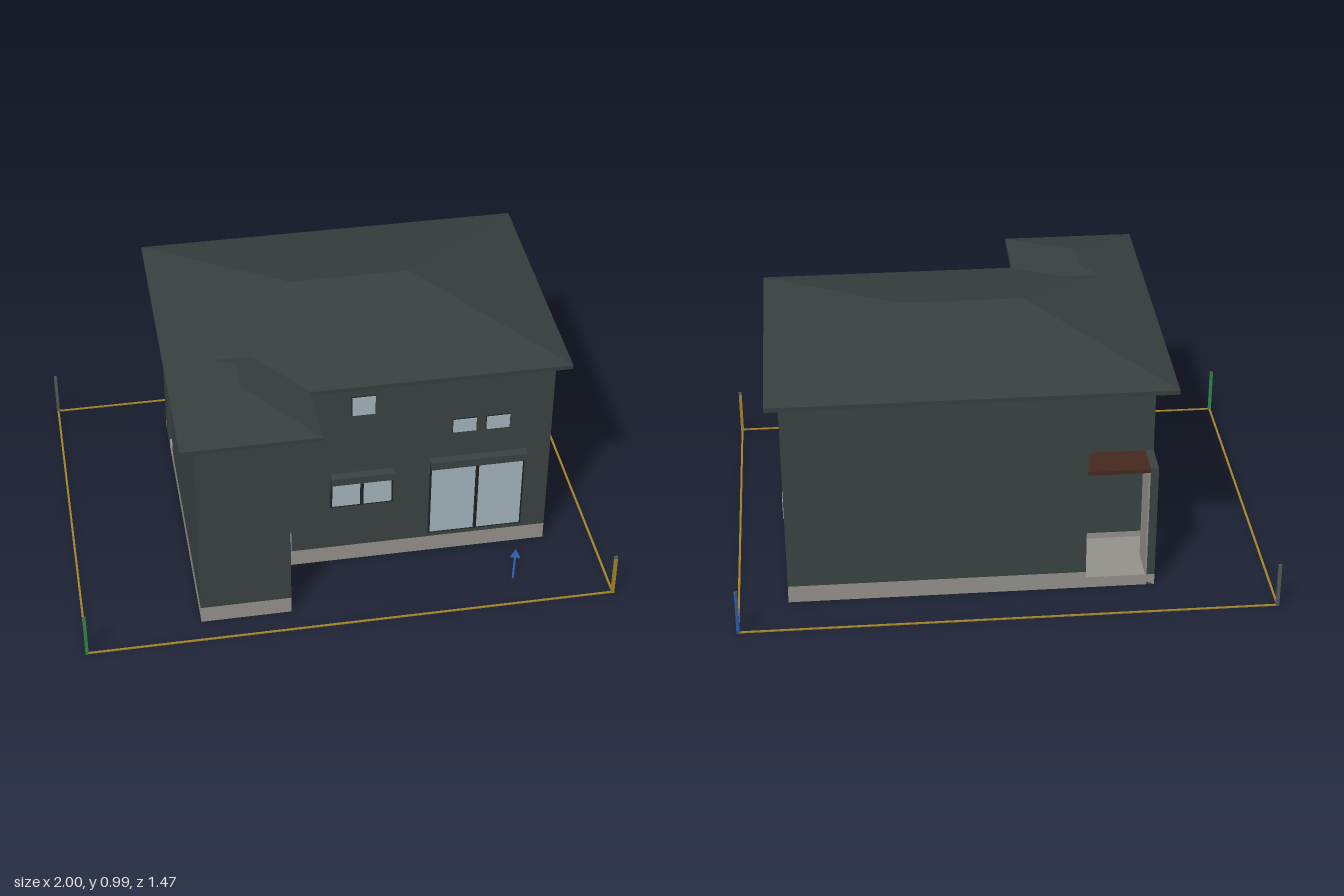
import * as THREE from 'three';

const mat = (name, color) => {
  const m = new THREE.MeshStandardMaterial({ color });
  m.name = name;
  return m;
};

export function createModel() {
  const model = new THREE.Group();
  model.name = 'house';
  const wall = mat('dark wall', 0x3b4343);
  const roof = mat('roof slate', 0x37403f);
  const concrete = mat('concrete', 0x96928d);
  const glass = mat('window glass', 0xa6b5c0);
  const frame = mat('black frame', 0x1e2323);
  const wood = mat('brown soffit', 0x45291f);
  const gold = mat('boundary gold', 0xa5842a);
  const green = mat('green', 0x2c8a45);
  const blue = mat('blue', 0x2a5ca8);
  const grey = mat('post grey', 0x55585a);

  const add = (name, geometry, material, parent = model) => {
    const mesh = new THREE.Mesh(geometry, material);
    mesh.name = name;
    parent.add(mesh);
    return mesh;
  };
  // Box given by its limits on each axis
  const box = (name, x0, x1, y0, y1, z0, z1, material, parent) => {
    const g = new THREE.BoxGeometry(x1 - x0, y1 - y0, z1 - z0);
    g.translate((x0 + x1) / 2, (y0 + y1) / 2, (z0 + z1) / 2);
    return add(name, g, material, parent);
  };
  // Vertical prism over a floor plan of [x, z] corners
  const toPoints = (plan) => plan.map(([x, z]) => new THREE.Vector2(x, -z));
  const prism = (name, plan, y0, y1, material, hole) => {
    const shape = new THREE.Shape(toPoints(plan));
    if (hole) shape.holes.push(new THREE.Path(toPoints(hole)));
    const g = new THREE.ExtrudeGeometry(shape, { depth: y1 - y0, bevelEnabled: false });
    g.rotateX(-Math.PI / 2);
    g.translate(0, y0, 0);
    return add(name, g, material);
  };

  // Storeys and foundation
  const lower = [[-0.56, 0.63], [-0.22, 0.63], [-0.22, 0.375], [0.81, 0.375],
    [0.81, -0.55], [-0.3, -0.55], [-0.3, -0.29], [-0.56, -0.29]];
  const upper = [[-0.56, 0.63], [-0.155, 0.63], [-0.155, 0.375], [0.81, 0.375],
    [0.81, -0.55], [-0.3, -0.55], [-0.3, -0.42], [-0.56, -0.42]];
  const inside = [[-0.52, 0.59], [-0.26, 0.59], [-0.26, 0.335], [0.77, 0.335],
    [0.77, -0.51], [-0.26, -0.51], [-0.26, -0.25], [-0.52, -0.25]];
  prism('foundation', lower, 0, 0.07, concrete, inside);
  prism('underfloor', inside, 0.05, 0.069, wood);
  prism('lowerWalls', lower, 0.07, 0.51, wall);
  prism('upperWalls', upper, 0.51, 0.85, wall);
  box('wingOverhangBand', -0.23, -0.165, 0.45, 0.51, 0.37, 0.625, wall);

  // Entry porch at the back corner
  box('porchFloor', -0.56, -0.2, 0, 0.045, -0.55, -0.2, concrete);
  box('porchCanopy', -0.555, -0.3, 0.492, 0.508, -0.55, -0.29, wood);
  box('porchHeader', -0.55, -0.3, 0.4, 0.495, -0.296, -0.289, wood);
  box('porchScreen', -0.56, -0.53, 0, 0.51, -0.55, -0.41, wall);
  box('porchScreenLining', -0.531, -0.524, 0, 0.49, -0.549, -0.411, concrete);
  box('porchEaveSoffit', -0.56, -0.3, 0.843, 0.851, -0.55, -0.42, wood);

  // Hip roofs: a flat eave slab with four slopes above it
  const hipRoof = (name, x0, x1, z0, z1) => {
    const g = new THREE.Group();
    g.name = name;
    model.add(g);
    const eave = 0.865, w = x1 - x0, d = z1 - z0, half = Math.min(w, d) / 2;
    box('eave', x0, x1, 0.848, eave, z0, z1, roof, g);
    const ridgeY = eave + half * 0.25;
    const A = [x0, eave, z1], B = [x1, eave, z1], C = [x1, eave, z0], D = [x0, eave, z0];
    const alongX = w > d, cx = (x0 + x1) / 2, cz = (z0 + z1) / 2;
    const P = alongX ? [x0 + half, ridgeY, cz] : [cx, ridgeY, z1 - half];
    const Q = alongX ? [x1 - half, ridgeY, cz] : [cx, ridgeY, z0 + half];
    const tris = alongX
      ? [A, B, Q, A, Q, P, B, C, Q, C, D, P, C, P, Q, D, A, P]
      : [A, B, P, B, C, Q, B, Q, P, C, D, Q, D, A, P, D, P, Q];
    const geo = new THREE.BufferGeometry();
    geo.setAttribute('position', new THREE.Float32BufferAttribute(tris.flat(), 3));
    geo.computeVertexNormals();
    add('slopes', geo, roof, g);
  };
  hipRoof('mainRoof', -0.615, 0.86, -0.605, 0.42);
  hipRoof('wingRoof', -0.615, -0.11, 0.047, 0.683);

  // Windows: a thin frame with panes, made facing +z and turned to the wall
  const makeWindow = (name, w, h, panes, x, y, z, turn, border = 0.005) => {
    const g = new THREE.Group();
    g.name = name;
    box('frame', -w / 2, w / 2, -h / 2, h / 2, -0.002, 0.004, frame, g);
    const pw = (w - border * 2 * panes) / panes;
    for (let i = 0; i < panes; i++) {
      const px = -w / 2 + border + i * (pw + border * 2);
      box('pane', px, px + pw, -h / 2 + border, h / 2 - border, 0, 0.007, glass, g);
    }
    g.position.set(x, y, z);
    g.rotation.y = turn;
    model.add(g);
  };
  const right = -Math.PI / 2, left = Math.PI / 2;
  makeWindow('livingWindow', 0.24, 0.13, 2, 0.09, 0.335, 0.375, 0, 0.007);
  makeWindow('terraceDoor', 0.365, 0.335, 2, 0.5325, 0.258, 0.375, 0, 0.007);
  makeWindow('upperWindow', 0.09, 0.085, 1, 0.093, 0.745, 0.375, 0, 0.002);
  for (const x of [0.475, 0.602]) makeWindow('smallWindow', 0.092, 0.062, 1, x, 0.605, 0.375, 0, 0.002);
  makeWindow('wingSideWindow', 0.07, 0.104, 1, -0.22, 0.305, 0.565, left, 0.002);
  makeWindow('sideSlitWindow', 0.034, 0.104, 1, 0.81, 0.305, -0.354, left, 0.002);
  for (const z of [-0.165, 0.4]) makeWindow('backSideWindow', 0.085, 0.085, 1, -0.56, 0.753, z, right, 0.004);

  // Shutter boxes over the large openings
  box('livingShutterBox', -0.03, 0.21, 0.4, 0.432, 0.37, 0.408, wall);
  box('terraceShutterBox', 0.35, 0.717, 0.425, 0.458, 0.37, 0.408, wall);

  // Plot boundary: ground strips and corner posts
  const X = 0.994, Z = 0.727, t = 0.004;
  for (const s of [-1, 1]) {
    box('boundaryStrip', -X, X, 0, 0.004, s * Z - t, s * Z + t, gold);
    box('boundaryStrip', s * X - t, s * X + t, 0, 0.004, -Z, Z, gold);
  }
  for (const [sx, sz, m] of [[-1, 1, green], [1, 1, gold], [1, -1, blue], [-1, -1, grey]]) {
    const x = sx * X, z = sz * Z, r = 0.006;
    box('cornerPost', x - r, x + r, 0, 0.174, z - r, z + r, m);
    box('postCap', x - r, x + r, 0.174, 0.18, z - r, z + r, grey);
  }

  // Flat arrow on the ground, drawn pointing away from the front and turned
  const outline = [[-0.004, 0.081], [0.004, 0.081], [0.004, -0.035], [0.02, -0.035],
    [0, -0.081], [-0.02, -0.035], [-0.004, -0.035]];
  const arrow = prism('groundArrow', outline, 0, 0.005, blue);
  arrow.position.set(0.665, 0, 0.512);
  arrow.rotation.y = -0.31;

  return model;
}
